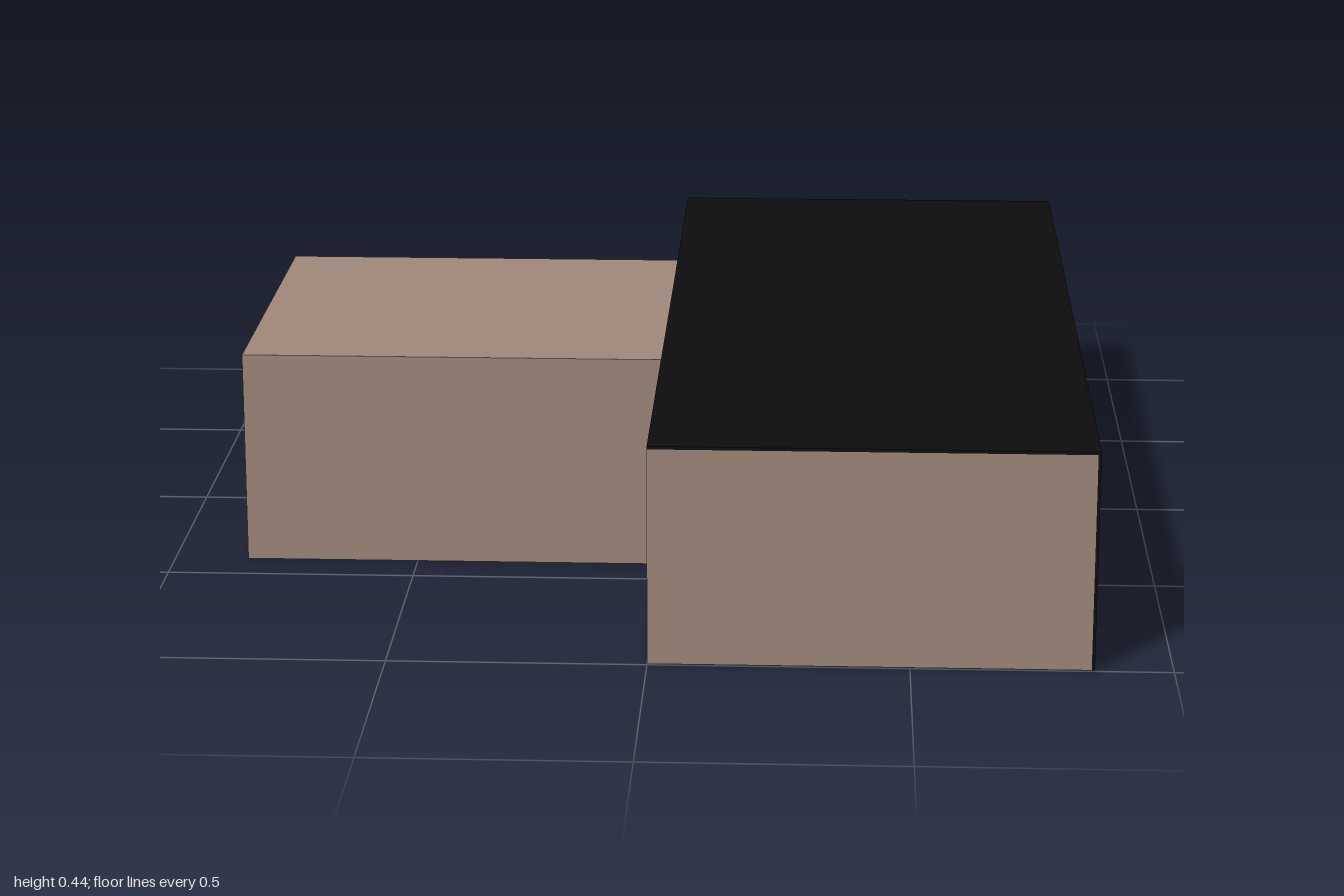
import * as THREE from 'three';

export function createModel() {
  const model = new THREE.Group();
  const tan = new THREE.MeshStandardMaterial({ color: 0xa0897b });
  tan.name = 'tan';
  const black = new THREE.MeshStandardMaterial({ color: 0x0d0d0d });
  black.name = 'black';
  const burgundy = new THREE.MeshStandardMaterial({ color: 0x800020 });
  burgundy.name = 'burgundy';

  const W = 0.85, H = 0.435, L = 1, D = 0.405; // half width, height, half lengths of hall and wing
  const T = 0.006; // panel thickness

  // Flat panel given by its extents along x, y and z
  function panel(parent, name, material, [x0, x1], [y0, y1], [z0, z1]) {
    const mesh = new THREE.Mesh(new THREE.BoxGeometry(x1 - x0, y1 - y0, z1 - z0), material);
    mesh.position.set((x0 + x1) / 2, (y0 + y1) / 2, (z0 + z1) / 2);
    mesh.name = name;
    parent.add(mesh);
  }

  // Long hall, open along its inner side
  const hall = new THREE.Group();
  hall.name = 'longHall';
  panel(hall, 'hallRoof', black, [0, W], [H - T, H], [-L, L]);
  panel(hall, 'hallOuterWall', black, [W - T, W], [0.002, H - T], [-L, L]);
  panel(hall, 'hallBackWall', black, [0, W - T], [0.002, H - T], [-L, -L + T]);
  panel(hall, 'hallFrontWall', tan, [0, W - T], [0.002, H - T], [L - T, L]);
  panel(hall, 'hallFloor', tan, [0, W - T], [0.002, 0.002 + T], [-L + T, L - T]);
  panel(hall, 'partition', tan, [0, 0.69], [0, H - T], [-0.108, -0.102]);
  model.add(hall);

  // Side wing, joined to the open side of the hall
  const wing = new THREE.Group();
  wing.name = 'sideWing';
  panel(wing, 'wingRoof', tan, [-W, 0], [H - T, H], [-D, D]);
  panel(wing, 'wingFloor', burgundy, [-W + T, 0], [0.001, 0.001 + T], [-D + T, D - T]);
  panel(wing, 'wingEndWall', tan, [-W, -W + T], [0, H - T], [-D, D]);
  for (const [name, z] of [['wingFrontWall', D - T], ['wingBackWall', -D]]) {
    panel(wing, name, tan, [-W + T, 0], [0, H - T], [z, z + T]);
  }
  model.add(wing);

  return model;
}
